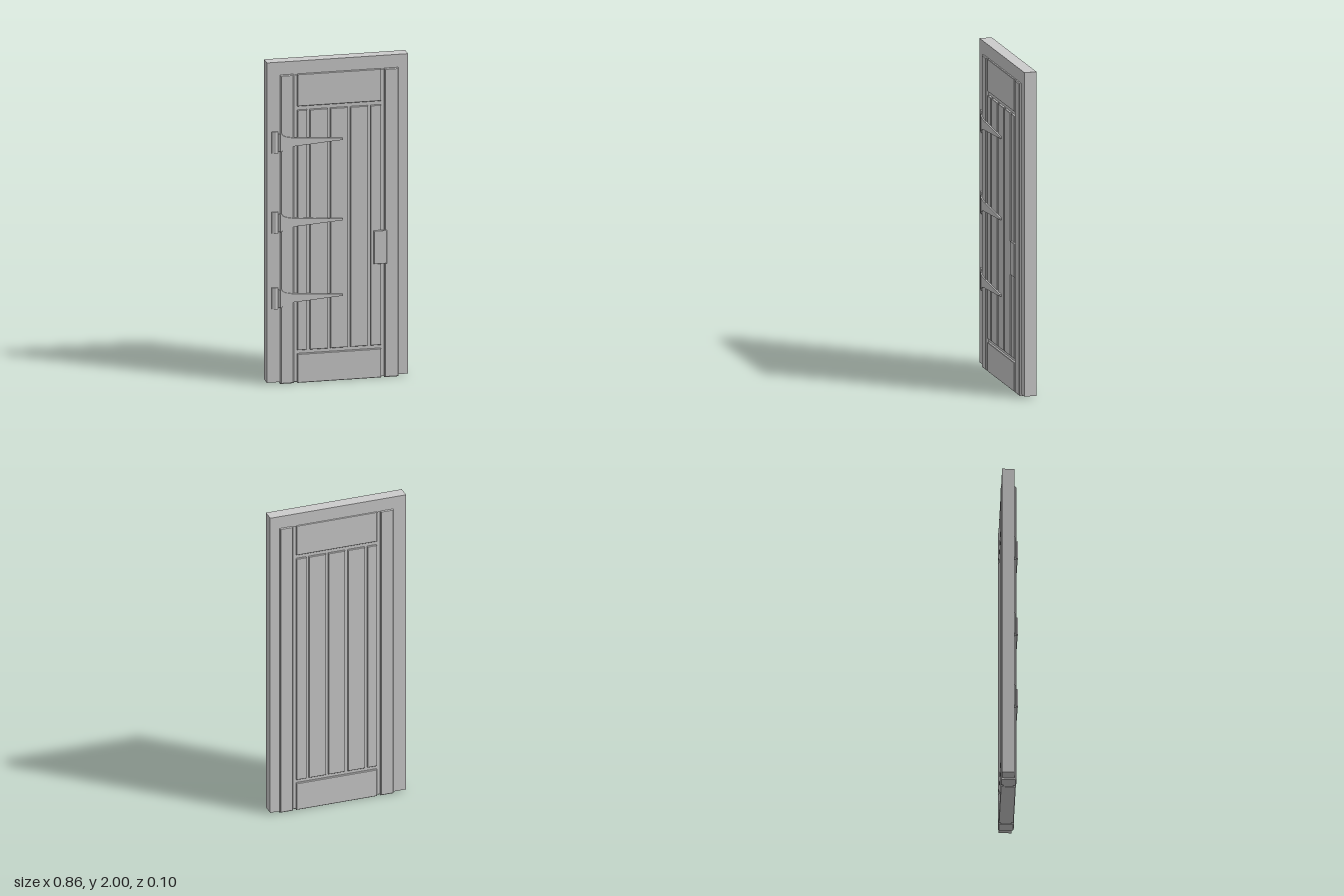
import * as THREE from 'three';

const material = new THREE.MeshStandardMaterial({ color: 0xcccccc, flatShading: true });

function add(parent, name, geometry) {
  const mesh = new THREE.Mesh(geometry, material);
  mesh.name = name;
  parent.add(mesh);
  return mesh;
}

function polygon(points) {
  return new THREE.Shape(points.map(([x, y]) => new THREE.Vector2(x, y)));
}

// Board spanning x0..x1, y0..y1, z0..z1 with lightly chamfered edges
function board(parent, name, x0, x1, y0, y1, z0, z1, b = 0.003) {
  const shape = polygon([[x0 + b, y0 + b], [x1 - b, y0 + b], [x1 - b, y1 - b], [x0 + b, y1 - b]]);
  const geometry = new THREE.ExtrudeGeometry(shape, {
    depth: z1 - z0 - 2 * b, bevelEnabled: true, bevelSize: b, bevelThickness: b, bevelSegments: 1,
  });
  return add(parent, name, geometry.translate(0, 0, z0 + b));
}

function createHinge(y) {
  const hinge = new THREE.Group();
  hinge.name = 'hinge';
  hinge.position.y = y;

  // Fixed leaf with a rounded knuckle: an x-z outline swept along y
  const leaf = polygon([
    [-0.4, -0.028], [-0.362, -0.028], [-0.362, -0.034], [-0.368, -0.039],
    [-0.376, -0.041], [-0.384, -0.039], [-0.39, -0.036], [-0.4, -0.034],
  ]);
  const leafGeometry = new THREE.ExtrudeGeometry(leaf, { depth: 0.134, bevelEnabled: false });
  add(hinge, 'hingeLeaf', leafGeometry.rotateX(-Math.PI / 2).translate(0, -0.067, 0)).material = material;

  // Cranked root that rises from the frame onto the door
  const crank = polygon([[-0.364, -0.028], [-0.34, -0.04], [-0.34, -0.051], [-0.352, -0.051], [-0.364, -0.034]]);
  const crankGeometry = new THREE.ExtrudeGeometry(crank, { depth: 0.11, bevelEnabled: false });
  add(hinge, 'hingeCrank', crankGeometry.rotateX(-Math.PI / 2).translate(0, -0.055, 0));

  // Tapering strap that flares at the root
  const upper = [[-0.345, 0.055], [-0.335, 0.043], [-0.315, 0.034], [-0.28, 0.027], [-0.17, 0.02], [-0.05, 0.011], [0.028, 0.006]];
  const lower = upper.map(([x, h]) => [x, -h]).reverse();
  const strap = polygon([...upper, ...lower]);
  const strapGeometry = new THREE.ExtrudeGeometry(strap, { depth: 0.012, bevelEnabled: false });
  add(hinge, 'hingeStrap', strapGeometry.translate(0, 0, 0.038));
  return hinge;
}

export function createModel() {
  const model = new THREE.Group();
  model.name = 'door';

  // Surround, open at the bottom
  const surround = polygon([
    [-0.43, 0.01], [-0.345, 0.01], [-0.345, 1.915], [0.365, 1.915],
    [0.365, 0.01], [0.43, 0.01], [0.43, 2], [-0.43, 2],
  ]);
  const surroundGeometry = new THREE.ExtrudeGeometry(surround, { depth: 0.075, bevelEnabled: false });
  add(model, 'frame', surroundGeometry.translate(0, 0, -0.046));

  // Door leaf: a core that shows in the grooves, with boards on both faces
  const leaf = new THREE.Group();
  leaf.name = 'doorLeaf';
  model.add(leaf);
  board(leaf, 'core', -0.345, 0.365, 0.002, 1.915, -0.038, 0.026);
  board(leaf, 'rightStile', -0.35, -0.267, 0, 1.92, -0.052, 0.042, 0.005);
  board(leaf, 'leftStile', 0.285, 0.37, 0, 1.92, -0.052, 0.042, 0.005);
  board(leaf, 'topRail', -0.245, 0.265, 1.72, 1.92, -0.05, 0.04);
  board(leaf, 'bottomRail', -0.245, 0.265, 0, 0.18, -0.05, 0.04);

  // Vertical planks between the rails
  const planks = [[-0.245, -0.186], [-0.169, -0.061], [-0.044, 0.061], [0.077, 0.185], [0.201, 0.265]];
  for (const [x0, x1] of planks) board(leaf, 'plank', x0, x1, 0.203, 1.695, -0.05, 0.04, 0.002);

  // Hardware
  for (const y of [1.503, 1.003, 0.533]) model.add(createHinge(y));
  board(model, 'lockPlate', 0.218, 0.298, 0.71, 0.917, 0.036, 0.05, 0.002);
  return model;
}
